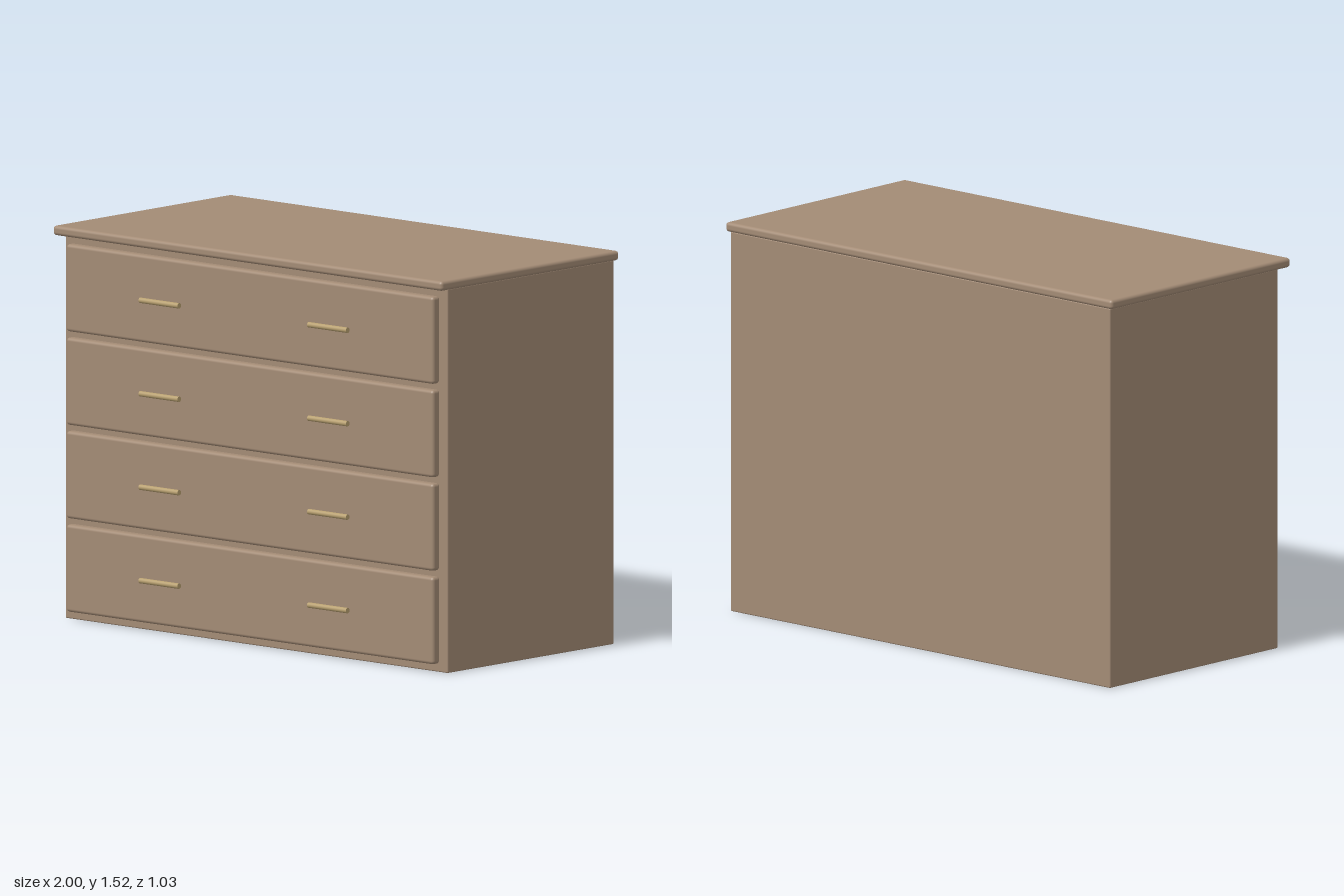
import * as THREE from 'three';
import { RoundedBoxGeometry } from 'three/addons/geometries/RoundedBoxGeometry.js';

export function createModel() {
  const wood = new THREE.MeshStandardMaterial({ color: 0xa38b75 });
  wood.name = 'wood';
  const brass = new THREE.MeshStandardMaterial({ color: 0xb8a070 });
  brass.name = 'brass';

  const chest = new THREE.Group();
  chest.name = 'chestOfDrawers';

  // Softly rounded panel given by its limits on each axis
  function panel(name, [x0, x1], [y0, y1], [z0, z1], radius, parent = chest) {
    const geometry = new RoundedBoxGeometry(x1 - x0, y1 - y0, z1 - z0, 4, radius);
    const mesh = new THREE.Mesh(geometry, wood);
    mesh.position.set((x0 + x1) / 2, (y0 + y1) / 2, (z0 + z1) / 2);
    mesh.name = name;
    parent.add(mesh);
  }

  // Carcass and overhanging top
  panel('body', [-0.982, 0.982], [0, 1.48], [-0.506, 0.436], 0.005);
  panel('top', [-1, 1], [1.479, 1.516], [-0.517, 0.49], 0.013);

  // Four equal drawers, each with two bar handles
  const handleGeometry = new THREE.CylinderGeometry(0.0105, 0.0105, 0.2, 20).rotateZ(Math.PI / 2);
  for (let i = 0; i < 4; i++) {
    const y = 0.201 + i * 0.36;
    const drawer = new THREE.Group();
    drawer.name = `drawer${i + 1}`;
    panel('drawerFront', [-0.944, 0.944], [y - 0.168, y + 0.168], [0.435, 0.477], 0.013, drawer);
    for (const side of [-1, 1]) {
      const handle = new THREE.Mesh(handleGeometry, brass);
      handle.name = side > 0 ? 'leftHandle' : 'rightHandle';
      handle.position.set(side * 0.433, y, 0.507);
      drawer.add(handle);
    }
    chest.add(drawer);
  }

  return chest;
}
